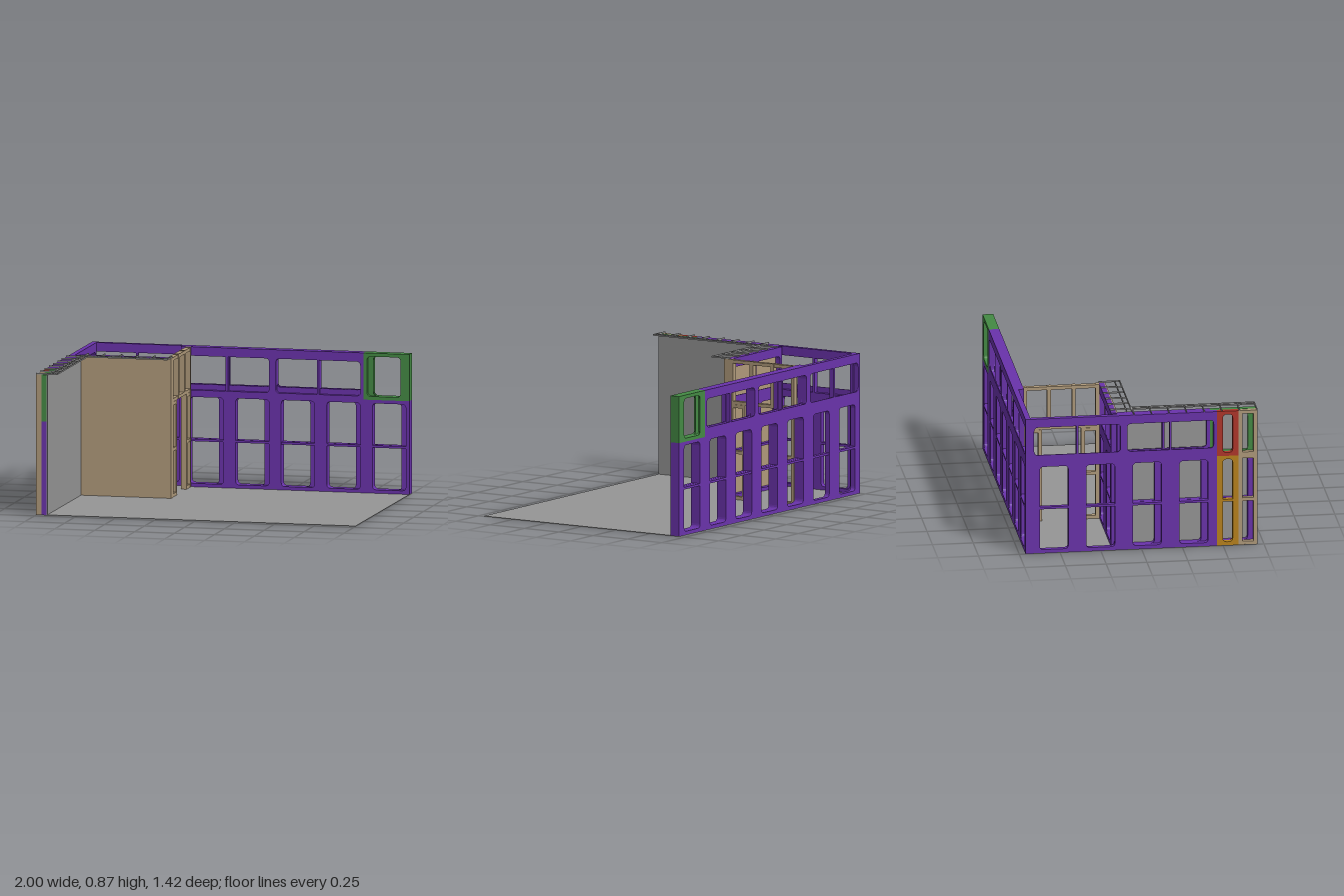
import * as THREE from 'three';

const mat = (name, color) => Object.assign(new THREE.MeshStandardMaterial({ color }), { name });

export function createModel() {
  const root = new THREE.Group();
  root.name = 'framedRoom';
  const grey = mat('grey', 0x969696), purple = mat('purple', 0x6a33ab), green = mat('green', 0x448a44);
  const tan = mat('tan', 0xb09a7b), red = mat('red', 0xb0352a), gold = mat('gold', 0xb8821c);

  const B = 0.003, M = 0.576, T = 0.863; // floor top, lower row top, wall top
  const D = 0.0325, BAY = 2 / 7;         // panel depth and width
  const W = 0.055, N = 0.021;            // wide and narrow margins

  // Box given by its limits
  function box(name, m, x0, x1, y0, y1, z0, z1, parent = root) {
    const mesh = new THREE.Mesh(new THREE.BoxGeometry(x1 - x0, y1 - y0, z1 - z0), m);
    mesh.position.set((x0 + x1) / 2, (y0 + y1) / 2, (z0 + z1) / 2);
    mesh.name = name;
    parent.add(mesh);
    return mesh;
  }

  // Rectangle with a rounded opening; margins are left, right, bottom, top
  function ring(w, h, [l, r, b, t], depth) {
    const s = new THREE.Shape([[0, 0], [w, 0], [w, h], [0, h]].map(p => new THREE.Vector2(...p)));
    const x0 = l, x1 = w - r, y0 = b, y1 = h - t, c = 0.024;
    const hole = new THREE.Path();
    hole.moveTo(x0 + c, y0);
    hole.quadraticCurveTo(x0, y0, x0, y0 + c).lineTo(x0, y1 - c);
    hole.quadraticCurveTo(x0, y1, x0 + c, y1).lineTo(x1 - c, y1);
    hole.quadraticCurveTo(x1, y1, x1, y1 - c).lineTo(x1, y0 + c);
    hole.quadraticCurveTo(x1, y0, x1 - c, y0).lineTo(x0 + c, y0);
    s.holes.push(hole);
    return new THREE.ExtrudeGeometry(s, { depth, bevelEnabled: false, curveSegments: 4 });
  }

  // Wall panel: thin outer plate, deeper frame and an optional middle rib
  function panel(name, m, w, h, plate, frame, rib) {
    const g = new THREE.Group();
    g.name = name;
    const skin = new THREE.Mesh(ring(w, h, plate, 0.006), m);
    skin.name = name + 'Plate';
    const rim = new THREE.Mesh(ring(w, h, frame, D - 0.006), m);
    rim.name = name + 'Frame';
    rim.position.z = 0.006;
    g.add(skin, rim);
    if (rib === 'across') box(name + 'Rib', m, frame[0], w - frame[1], h / 2 - 0.007, h / 2 + 0.007, 0.001, D - 0.002, g);
    if (rib === 'up') box(name + 'Rib', m, w / 2 - 0.007, w / 2 + 0.007, frame[2], h - frame[3], 0.001, D - 0.002, g);
    root.add(g);
    return g;
  }
  const tall = () => panel('tallPanel', purple, BAY, M - B, [W, W, N, N], [W, N, N, N], 'across');
  const wide = () => panel('widePanel', purple, 2 * BAY, T - M, [N, N, W, W], [N, N, N, W], 'up');
  const square = () => panel('squarePanel', green, BAY, T - M, [W, W, N, N], [N, W, N, N]);

  // Panels facing front start at their left end; side panels start at their front end
  const facing = (g, x, y, z) => g.position.set(x, y, z);
  const side = (g, x, y, z) => { g.rotation.y = Math.PI / 2; g.position.set(x, y, z); };

  // Floor
  box('floor', grey, -1, 1, 0, B, -0.712, 0.71);

  // Back wall: outer layer and shorter inner layer
  const zBack = -0.712;
  for (const [z, first] of [[zBack, 0], [zBack + D, 2]]) {
    for (let i = first; i < 7; i++) facing(tall(), -1 + i * BAY, B, z);
    for (let i = first; i < 6; i += 2) facing(wide(), -1 + i * BAY, M, z);
    facing(square(), 1 - BAY, M, z);
  }

  // Left-hand wall, outer layer
  const zSide = zBack + D;
  for (let i = 1; i <= 4; i++) side(tall(), -1, B, zSide + i * BAY);
  for (let i = 2; i <= 4; i += 2) side(wide(), -1, M, zSide + i * BAY);
  const z1 = zSide + 4 * BAY, z2 = 0.594, fill = z2 - z1, K = 0.035;
  side(panel('fillerPanel', gold, fill, M - B, [K, K, N, N], [K, N, N, N], 'across'), -1, B, z2);
  side(panel('upperFiller', red, fill, T - M, [K, K, N, N], [K, N, N, N]), -1, M, z2);

  // Timber frame in a side plane: posts at given z, rails at given y
  function timber(name, x0, x1, za, zb, posts, rails, ya, yb) {
    const g = new THREE.Group();
    g.name = name;
    for (const z of posts) box('post', tan, x0, x1, ya, yb, z, z + 0.023, g);
    for (const y of rails) box('rail', tan, x0 + 0.001, x1 - 0.001, y, y + 0.02, za + 0.001, zb - 0.001, g);
    root.add(g);
  }
  timber('wallEndTimber', -1, -1 + D, z2, 0.71, [z2, 0.687], [B, 0.282, M - 0.02, M, T - 0.021], B, T);

  // Left-hand wall, inner layer and its lining sheet
  const xIn = -1 + D;
  for (let i = 0; i < 3; i++) side(tall(), xIn, B, 0.71 - i * BAY);
  side(square(), xIn, M, 0.71);
  side(wide(), xIn, M, 0.71 - BAY);
  box('sideLining', grey, xIn + D, xIn + D + 0.005, B, T, -0.14, 0.71);

  // Short partition with its lining board and end board
  const xP = xIn + D, zP = -0.18;
  for (let i = 0; i < 2; i++) facing(tall(), xP - 0.008 + i * BAY, B, zP);
  facing(wide(), xP - 0.008, M, zP);
  box('partitionLining', tan, xP, -0.365, B, T, zP + D, -0.14);
  box('partitionEnd', tan, -0.372, -0.365, B, T, -0.2, zP + D);

  // Timber doorway wall
  const xa = -0.4, xb = -0.366;
  timber('doorHeader', xa, xb, -0.648, zP, [-0.648, -0.5, -0.348, -0.203], [0.588, T - 0.022], 0.588, T);
  timber('doorSideBack', xa, xb, -0.648, -0.531, [-0.648, -0.554], [B, 0.284, 0.567], B, 0.588);
  timber('doorSideFront', xa, xb, -0.292, zP, [-0.292, -0.203], [B, 0.284, 0.567], B, 0.588);

  // Thin ladder frames resting on the wall tops
  const y0 = T + 0.001, y1 = T + 0.01, r = 0.003;
  for (const z of [-0.083, -0.052]) box('partitionLadderRail', grey, xP, -0.366, y0, y1, z - r, z + r);
  for (let i = 0; i < 6; i++) {
    const x = -0.893 + i * 0.1048;
    box('partitionLadderRung', grey, x - r, x + r, y0, y1, zP, -0.05);
  }
  for (const x of [-0.9, -0.871]) box('sideLadderRail', grey, x - r, x + r, y0, y1, -0.05, 0.71);
  for (let i = 0; i < 8; i++) {
    const z = -0.046 + i * 0.1075;
    box('sideLadderRung', grey, -1, -0.869, y0, y1, z - r, z + r);
  }
  return root;
}
